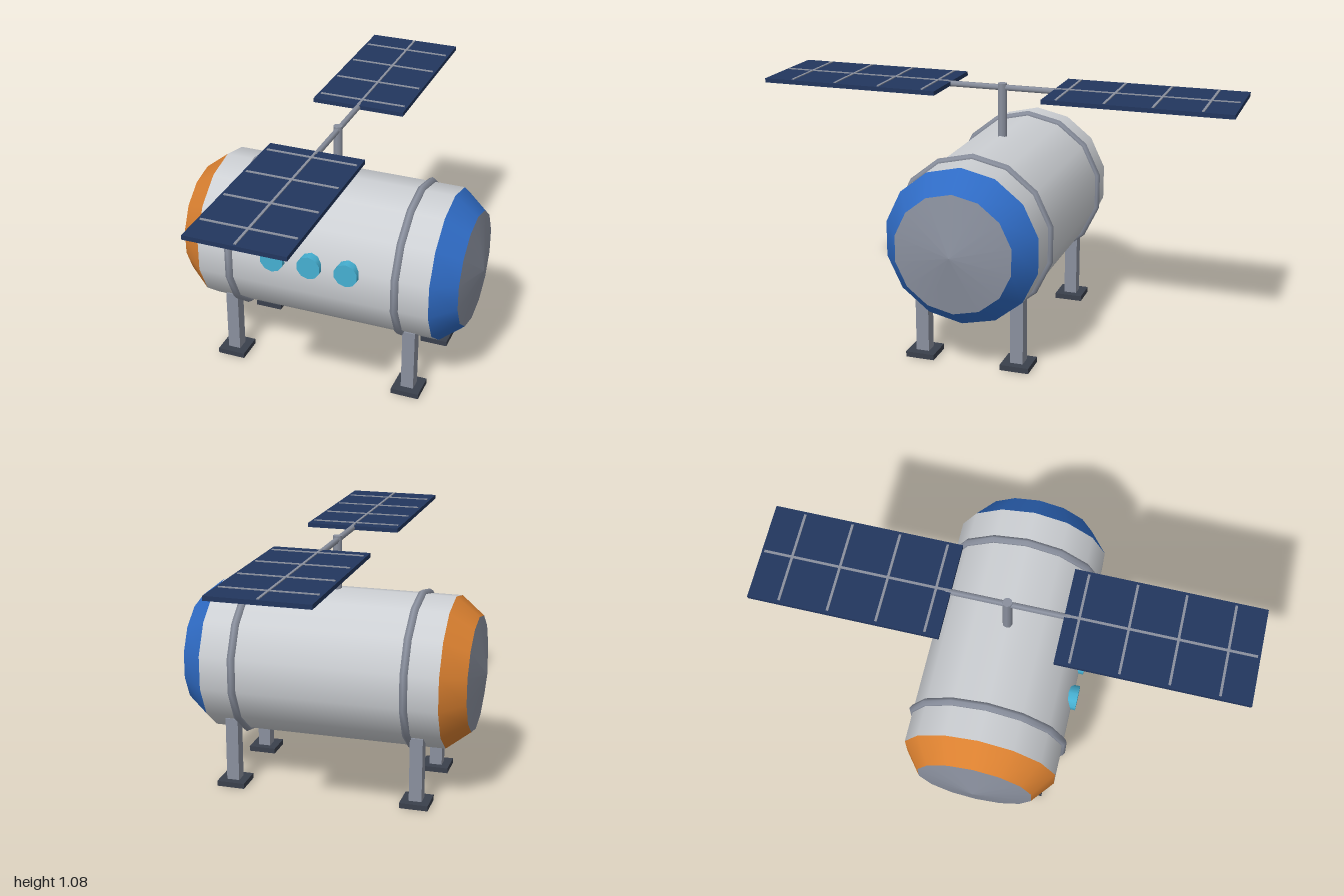
import * as THREE from 'three';

const mat = (name, color) => {
  const m = new THREE.MeshStandardMaterial({ color });
  m.name = name;
  return m;
};

export function createModel() {
  const hullGrey = mat('hull grey', 0xcdd0d4);
  const steel = mat('steel', 0x8a909e);
  const orange = mat('orange', 0xda8030);
  const blue = mat('blue', 0x2f6bc4);
  const glass = mat('window cyan', 0x46b0d2);
  const panelBlue = mat('panel navy', 0x22365e);
  const dark = mat('pad dark', 0x3a404c);

  const model = new THREE.Group();
  model.name = 'spaceModule';
  const add = (name, geo, material, x = 0, y = 0, z = 0, parent = model) => {
    const m = new THREE.Mesh(geo, material);
    m.name = name;
    m.position.set(x, y, z);
    parent.add(m);
    return m;
  };

  const SIDES = 14, R = 0.3265, CY = 0.5325;

  // Hull: open fourteen-sided sections along x, a vertex at the top
  const section = (name, x0, r0, x1, r1, material) => {
    const g = new THREE.CylinderGeometry(r0, r1, x1 - x0, SIDES, 1, true, Math.PI / 2);
    g.rotateZ(Math.PI / 2);
    add(name, g, material, (x0 + x1) / 2, CY, 0);
  };
  section('rightEndCap', -0.65, 0, -0.61, 0.247, steel);
  section('orangeBand', -0.61, 0.247, -0.51, R, orange);
  section('hull', -0.51, R, 0.51, R, hullGrey);
  section('blueBand', 0.51, R, 0.61, 0.247, blue);
  section('leftEndCap', 0.61, 0.247, 0.65, 0, steel);

  // Hoops around the hull
  for (const s of [-1, 1]) {
    const g = new THREE.TorusGeometry(R, 0.018, 6, SIDES);
    g.rotateZ(Math.PI / 2).rotateY(Math.PI / 2);
    add('hoop', g, steel, s * 0.367, CY, 0);
  }

  // Three portholes on the front
  for (const x of [-0.163, 0, 0.163]) {
    const g = new THREE.CylinderGeometry(0.052, 0.052, 0.05, 10);
    g.rotateX(Math.PI / 2);
    add('porthole', g, glass, x, 0.594, 0.315);
  }

  // Four legs with foot pads
  for (const sx of [-1, 1]) for (const sz of [-1, 1]) {
    const leg = new THREE.Group();
    leg.name = 'leg';
    leg.position.set(sx * 0.405, 0, sz * 0.205);
    add('legPost', new THREE.BoxGeometry(0.055, 0.305, 0.055), steel, 0, 0.1525, 0, leg);
    add('footPad', new THREE.BoxGeometry(0.122, 0.023, 0.122), dark, 0, 0.0125, 0, leg);
    model.add(leg);
  }

  // Mast and cross arm
  add('mast', new THREE.CylinderGeometry(0.02, 0.02, 0.243, 8), steel, 0, 0.9615, 0);
  const arm = new THREE.CylinderGeometry(0.013, 0.013, 0.5, 6, 1, false, Math.PI / 2);
  arm.rotateX(Math.PI / 2);
  add('crossArm', arm, steel, 0, 1.065, 0);

  // Solar panels with thin grid strips on top
  for (const s of [-1, 1]) {
    const wing = new THREE.Group();
    wing.name = 'solarPanel';
    add('panel', new THREE.BoxGeometry(0.404, 0.018, 0.772), panelBlue, 0, 1.066, s * 0.614, wing);
    add('gridStrip', new THREE.BoxGeometry(0.01, 0.004, 0.755), steel, 0, 1.0765, s * 0.612, wing);
    for (let i = 0; i < 4; i++) {
      add('gridStrip', new THREE.BoxGeometry(0.38, 0.004, 0.01), steel, 0, 1.0765, s * (0.287 + i * 0.196), wing);
    }
    model.add(wing);
  }

  return model;
}
